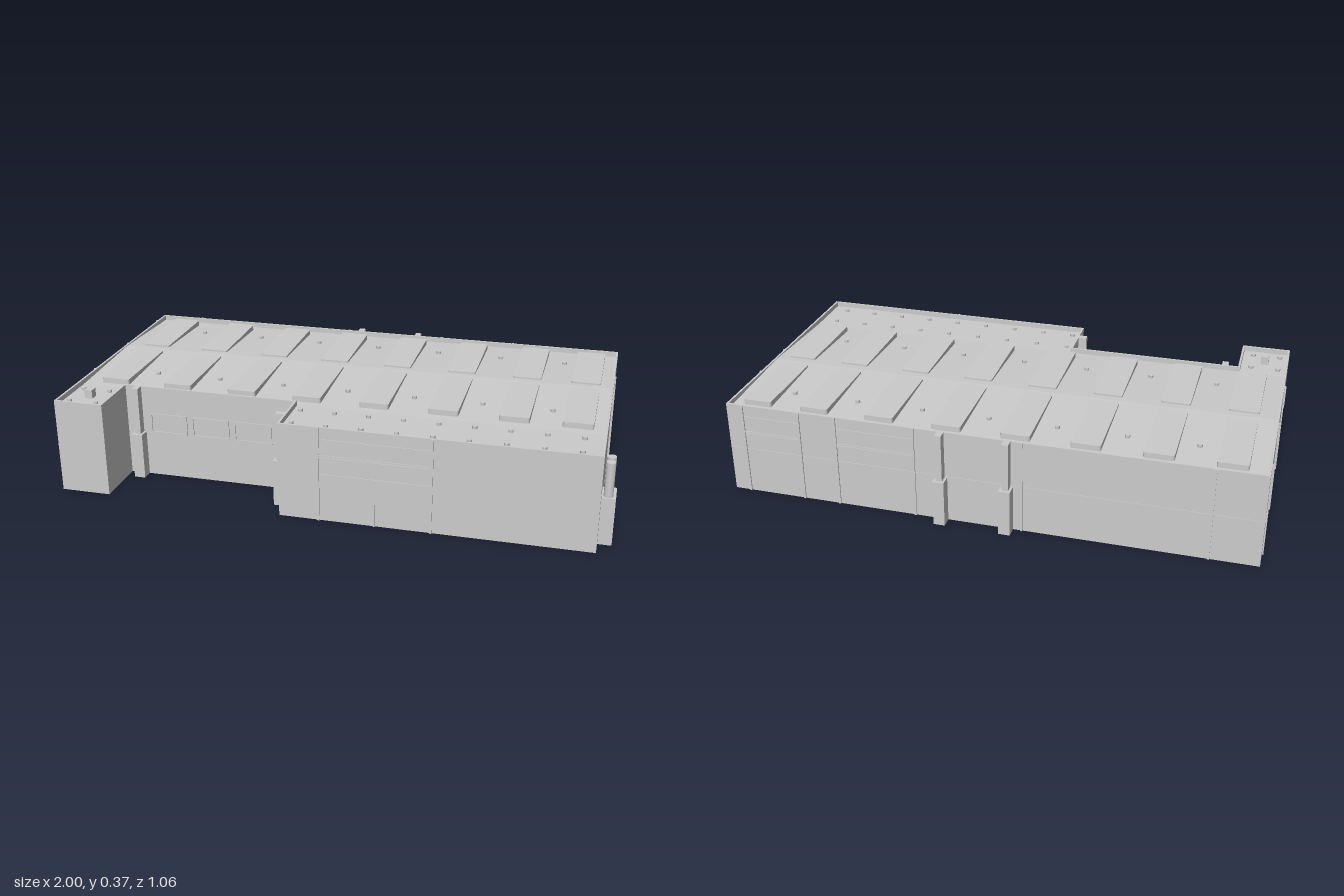
import * as THREE from 'three';

const mat = new THREE.MeshStandardMaterial({ color: 0xcccccc, side: THREE.DoubleSide });
const L = -0.995, R = 0.952, B = -0.488, F = 0.526; // outer walls
const NL = -0.81, NR = -0.155, NZ = 0.322;          // entrance recess
const EAVE = 0.336, TOP = 0.355;

function add(parent, geo, name) {
  const m = new THREE.Mesh(geo, mat);
  m.name = name;
  parent.add(m);
  return m;
}

// Box given by its two opposite corners
function span(parent, name, x0, x1, y0, y1, z0, z1) {
  const m = add(parent, new THREE.BoxGeometry(x1 - x0, y1 - y0, z1 - z0), name);
  m.position.set((x0 + x1) / 2, (y0 + y1) / 2, (z0 + z1) / 2);
  return m;
}

// Floor plan outline, inset by d, as (x, -z)
function plan(d) {
  return [[L + d, B + d], [L + d, F - d], [NL - d, F - d], [NL - d, NZ - d],
    [NR + d, NZ - d], [NR + d, F - d], [R - d, F - d], [R - d, B + d]]
    .map(([x, z]) => new THREE.Vector2(x, -z));
}

function extrudeUp(shape, y0, y1) {
  return new THREE.ExtrudeGeometry(shape, { depth: y1 - y0, bevelEnabled: false })
    .rotateX(-Math.PI / 2).translate(0, y0, 0);
}

function roundedRect(w, h, r) {
  const s = new THREE.Shape(), x = w / 2, y = h / 2;
  s.moveTo(-x + r, -y);
  s.lineTo(x - r, -y).quadraticCurveTo(x, -y, x, -y + r);
  s.lineTo(x, y - r).quadraticCurveTo(x, y, x - r, y);
  s.lineTo(-x + r, y).quadraticCurveTo(-x, y, -x, y - r);
  s.lineTo(-x, -y + r).quadraticCurveTo(-x, -y, -x + r, -y);
  return s;
}

// Empty group on a wall: local x runs along the wall, local z points outward
function wall(parent, name, x, z, angle) {
  const g = new THREE.Group();
  g.name = name;
  g.position.set(x, 0, z);
  g.rotation.y = angle;
  parent.add(g);
  return g;
}

function strips(g, list, top = TOP) {
  for (const a of list) span(g, 'wallStrip', a - 0.004, a + 0.004, 0, top, -0.002, 0.005);
}

// Framed bay: posts at both ends with horizontal rails between
function bay(g, a, b) {
  strips(g, [a, b]);
  for (const y of [0.178, 0.242, 0.25, 0.31]) {
    span(g, 'bayRail', a, b, y - 0.002, y + 0.002, -0.002, 0.003);
  }
}

// Duct: wide lower casing with a slimmer riser above
function duct(g, a, riserTop) {
  span(g, 'ductCasing', a - 0.021, a + 0.021, 0, 0.175, -0.002, 0.043);
  span(g, 'ductRiser', a - 0.012, a + 0.012, 0.175, riserTop, -0.002, 0.032);
}

export function createModel() {
  const model = new THREE.Group();
  model.name = 'industrialBuilding';

  // Main block and parapet
  add(model, extrudeUp(new THREE.Shape(plan(0)), 0, EAVE), 'mainBlock');
  const rim = new THREE.Shape(plan(0));
  rim.holes.push(new THREE.Path(plan(0.008)));
  add(model, extrudeUp(rim, EAVE, TOP), 'parapet');

  // Gently cambered roof over the main hall
  const camber = new THREE.Shape();
  camber.moveTo(-0.31, EAVE - 0.01);
  camber.lineTo(0.48, EAVE - 0.01);
  camber.lineTo(0.48, EAVE);
  camber.lineTo(0.085, 0.353);
  camber.lineTo(-0.31, EAVE);
  const len = R - L - 0.016;
  add(model, new THREE.ExtrudeGeometry(camber, { depth: len, bevelEnabled: false })
    .rotateY(Math.PI / 2).translate(L + 0.008, 0, 0), 'camberedRoof');

  // Skylights in two rows
  const skylight = extrudeUp(roundedRect(0.107, 0.335, 0.01), EAVE, 0.358);
  for (const x of [-0.87, -0.623, -0.372, -0.123, 0.128, 0.38, 0.63, 0.85]) {
    for (const z of [-0.277, 0.112]) add(model, skylight, 'skylight').position.set(x, 0, z);
  }

  // Small roof vents
  const vent = new THREE.CylinderGeometry(0.009, 0.009, 0.012, 8);
  const putVent = (x, y, z) => add(model, vent, 'roofVent').position.set(x, y, z);
  for (const z of [0.36, 0.475]) {
    for (const x of [-0.96, -0.857]) putVent(x, EAVE + 0.004, z);
    for (let i = 0; i < 9; i++) putVent(-0.12 + i * 0.125, EAVE + 0.004, z);
  }
  for (let i = 0; i < 7; i++) {
    for (const z of [-0.33, 0.16]) putVent(-0.747 + i * 0.25, 0.347, z);
  }
  span(model, 'roofChimney', -0.92, -0.89, EAVE, 0.368, 0.405, 0.435);

  // Front wall with a framed bay
  const front = wall(model, 'frontWall', 0, F, 0);
  bay(front, -0.01, 0.39);
  strips(front, [0.19], 0.178);

  // Recessed wall: row of framed windows and a duct
  const recess = wall(model, 'recessedWall', 0, NZ, 0);
  for (let i = 0; i < 3; i++) {
    const frame = roundedRect(0.145, 0.078, 0.001);
    frame.holes.push(roundedRect(0.133, 0.066, 0.001));
    add(recess, new THREE.ExtrudeGeometry(frame, { depth: 0.004, bevelEnabled: false }), 'windowFrame')
      .position.set(-0.645 + i * 0.165, 0.212, 0);
  }
  duct(recess, -0.76, TOP);
  duct(wall(model, 'recessSideWall', NR, 0.435, -Math.PI / 2), 0, TOP);

  // Right wall (local x = -z): framed bay, side panels, twin stacks
  const right = wall(model, 'rightWall', R, 0, Math.PI / 2);
  bay(right, 0, 0.205);
  for (const a of [-0.025, 0.205]) span(right, 'sidePanel', a, a + 0.028, 0.175, 0.245, -0.002, 0.002);
  for (const z of [0.441, 0.396]) {
    span(right, 'stackBase', -z - 0.022, -z + 0.022, 0, 0.175, -0.002, 0.048);
    const stack = add(right, new THREE.CylinderGeometry(0.016, 0.016, 0.13, 20), 'exhaustStack');
    stack.position.set(-z, 0.235, 0.022);
  }

  // Back wall (local x = -x): framed bays, strips, long rail, two ducts
  const back = wall(model, 'backWall', 0, B, Math.PI);
  bay(back, -0.89, -0.67);
  bay(back, -0.53, -0.235);
  strips(back, [0.16, 0.82]);
  span(back, 'longRail', -R, -L, 0.176, 0.18, -0.002, 0.002);
  for (const x of [-0.108, 0.133]) duct(back, -x, TOP);

  // Left wall (local x = z): strips and a long rail
  const left = wall(model, 'leftWall', L, 0, -Math.PI / 2);
  strips(left, [-0.41, -0.11, 0.19]);
  span(left, 'longRail', B, F, 0.176, 0.18, -0.002, 0.002);
  span(left, 'sidePanel', 0.375, 0.42, 0.175, 0.245, -0.002, 0.005);

  return model;
}
